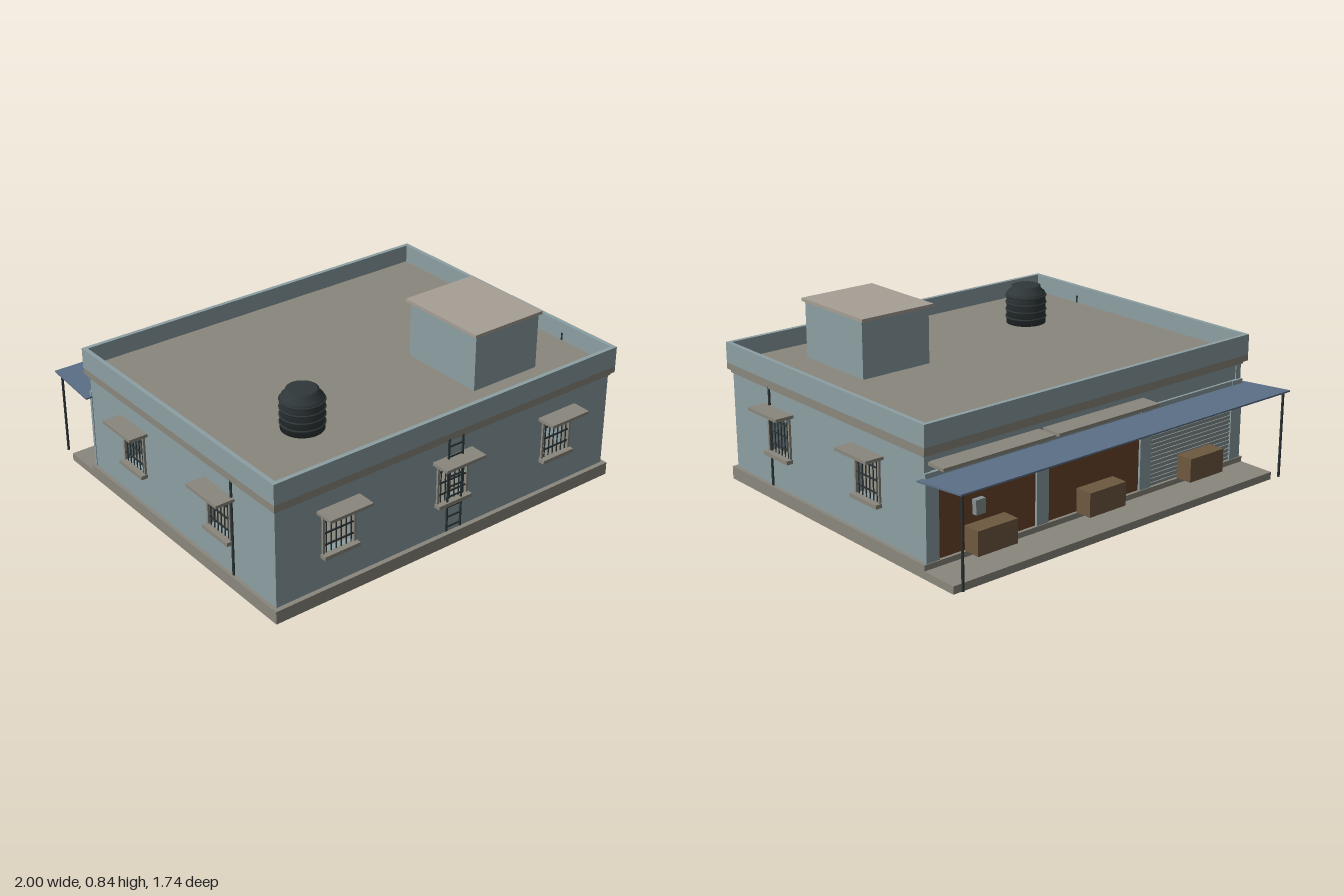
import * as THREE from 'three';

const mat = (color, side = THREE.FrontSide) => new THREE.MeshStandardMaterial({ color, side });
const M = {
  wall: mat(0x8c9fa3), concrete: mat(0x8a877d), cap: mat(0xa69f95), wood: mat(0x6b452c),
  counter: mat(0x6e5940), awning: mat(0x5b6f86, THREE.DoubleSide), metal: mat(0x2b3436),
  tank: mat(0x30383a), shutter: mat(0x858f92),
};

function add(parent, name, geometry, material, x = 0, y = 0, z = 0) {
  const mesh = new THREE.Mesh(geometry, material);
  mesh.name = name;
  mesh.position.set(x, y, z);
  parent.add(mesh);
  return mesh;
}

// Box given by its limits on each axis
function box(parent, name, material, [x0, x1], [y0, y1], [z0, z1]) {
  return add(parent, name, new THREE.BoxGeometry(x1 - x0, y1 - y0, z1 - z0), material,
    (x0 + x1) / 2, (y0 + y1) / 2, (z0 + z1) / 2);
}

// Upright round bar
function rod(parent, name, material, r, x, z, y0, y1) {
  return add(parent, name, new THREE.CylinderGeometry(r, r, y1 - y0, 8), material, x, (y0 + y1) / 2, z);
}

const WIN = { w: 0.075, y0: 0.225, y1: 0.41 };

// Barred window with frame, sill and sunshade, facing +z from the wall plane z = 0
function windowUnit(u) {
  const g = new THREE.Group();
  g.name = 'window';
  g.position.x = u;
  const { w, y0, y1 } = WIN;
  for (const s of [-1, 1]) {
    const e = s * w;
    box(g, 'windowFrameSide', M.concrete, [Math.min(e, e + s * 0.01), Math.max(e, e + s * 0.01)], [y0, y1], [-0.03, 0.01]);
  }
  box(g, 'windowFrameTop', M.concrete, [-w - 0.01, w + 0.01], [y1, y1 + 0.01], [-0.03, 0.01]);
  box(g, 'windowSill', M.concrete, [-0.09, 0.09], [y0 - 0.018, y0], [-0.03, 0.032]);
  box(g, 'windowShade', M.concrete, [-0.108, 0.108], [0.42, 0.434], [-0.01, 0.09]);
  for (let i = 0; i < 6; i++) rod(g, 'windowBar', M.metal, 0.003, -0.0625 + i * 0.025, 0.003, y0, y1);
  for (const t of [0.2, 0.5, 0.8]) {
    const y = y0 + t * (y1 - y0);
    box(g, 'windowCrossBar', M.metal, [-w, w], [y - 0.003, y + 0.003], [0, 0.006]);
  }
  return g;
}

// Wall with window openings, its outer face on local z = 0
function wall(name, half, centres) {
  const g = new THREE.Group();
  g.name = name;
  const rect = (C, x0, x1, y0, y1) => new C([[x0, y0], [x1, y0], [x1, y1], [x0, y1]].map(p => new THREE.Vector2(...p)));
  const shape = rect(THREE.Shape, -half, half, 0.06, 0.53);
  for (const c of centres) shape.holes.push(rect(THREE.Path, c - WIN.w, c + WIN.w, WIN.y0, WIN.y1));
  add(g, name + 'Panel', new THREE.ExtrudeGeometry(shape, { depth: 0.03, bevelEnabled: false }), M.wall, 0, 0, -0.03);
  for (const c of centres) g.add(windowUnit(c));
  return g;
}

export function createModel() {
  const model = new THREE.Group();
  model.name = 'building';

  // Base and porch
  box(model, 'plinth', M.concrete, [-0.927, 0.927], [0, 0.06], [-0.62, 0.797]);
  box(model, 'porchFloor', M.concrete, [-0.927, 0.927], [0, 0.035], [-0.8, -0.59]);

  // Walls
  const front = wall('frontWall', 0.91, [-0.6, 0, 0.6]);
  front.position.z = 0.775;
  const right = wall('rightSideWall', 0.69, [-0.325, 0.32]);
  right.position.set(0.91, 0, 0.085);
  right.rotation.y = Math.PI / 2;
  const left = wall('leftSideWall', 0.69, [-0.335, 0.31]);
  left.position.set(-0.91, 0, 0.085);
  left.rotation.y = -Math.PI / 2;
  model.add(front, right, left);
  box(model, 'backWall', M.wall, [-0.91, 0.91], [0.06, 0.53], [-0.6, -0.57]);

  // Roof slab, moulding and parapet
  box(model, 'cornice', M.concrete, [-0.917, 0.917], [0.51, 0.526], [-0.612, 0.783]);
  box(model, 'roofSlab', M.concrete, [-0.927, 0.927], [0.526, 0.555], [-0.63, 0.797]);
  box(model, 'roofFloor', M.concrete, [-0.907, 0.907], [0.55, 0.565], [-0.61, 0.777]);
  for (const [z0, z1] of [[-0.63, -0.61], [0.777, 0.797]])
    box(model, 'parapetLong', M.wall, [-0.927, 0.927], [0.555, 0.65], [z0, z1]);
  for (const [x0, x1] of [[-0.927, -0.907], [0.907, 0.927]])
    box(model, 'parapetShort', M.wall, [x0, x1], [0.555, 0.65], [-0.61, 0.777]);

  // Stair room
  box(model, 'stairRoom', M.wall, [0.27, 0.63], [0.56, 0.825], [0.175, 0.6]);
  box(model, 'stairRoomCap', M.cap, [0.255, 0.64], [0.825, 0.84], [0.157, 0.613]);

  // Water tank
  const profile = [[0, 0], [0.094, 0], [0.094, 0.135], [0.09, 0.15], [0.07, 0.168], [0.07, 0.18], [0.06, 0.184], [0, 0.184]];
  add(model, 'waterTank', new THREE.LatheGeometry(profile.map(p => new THREE.Vector2(...p)), 32), M.tank, -0.49, 0.565, 0.395);
  for (const y of [0.595, 0.63, 0.665, 0.7]) {
    const ring = add(model, 'tankRing', new THREE.TorusGeometry(0.094, 0.005, 6, 32), M.tank, -0.49, y, 0.395);
    ring.rotation.x = Math.PI / 2;
  }

  // Ladder on the front
  for (const x of [-0.038, 0.038]) rod(model, 'ladderRail', M.metal, 0.005, x, 0.795, 0.08, 0.53);
  for (let i = 0; i < 9; i++) {
    const y = 0.1 + i * 0.049;
    box(model, 'ladderRung', M.metal, [-0.038, 0.038], [y - 0.003, y + 0.003], [0.792, 0.798]);
  }

  // Drain pipes
  for (const x of [-0.911, 0.911]) rod(model, 'drainPipe', M.metal, 0.007, x, 0.483, 0.06, 0.6);

  // Shop bays: pilasters, two timber fronts and a slatted shutter
  for (const x of [-0.88, -0.3, 0.3, 0.88])
    box(model, 'pilaster', M.wall, [x - 0.033, x + 0.033], [0.06, 0.44], [-0.616, -0.6]);
  box(model, 'bayLintel', M.wall, [-0.91, 0.91], [0.4, 0.44], [-0.612, -0.6]);
  for (const x of [0, 0.59]) box(model, 'timberFront', M.wood, [x - 0.267, x + 0.267], [0.06, 0.4], [-0.605, -0.6]);
  box(model, 'shutter', M.shutter, [-0.85, -0.33], [0.06, 0.4], [-0.604, -0.6]);
  for (let i = 0; i < 17; i++) {
    const y = 0.062 + i * 0.02;
    box(model, 'shutterSlat', M.shutter, [-0.85, -0.33], [y, y + 0.013], [-0.61, -0.603]);
  }
  for (const x of [-0.61, 0, 0.61])
    box(model, 'counter', M.counter, [x - 0.105, x + 0.105], [0.06, 0.17], [-0.695, -0.611]);
  box(model, 'meterBox', M.shutter, [0.62, 0.67], [0.205, 0.27], [-0.63, -0.603]);

  // Concrete shades above two bays
  for (const x of [0, 0.6])
    box(model, 'bayShade', M.concrete, [x - 0.29, x + 0.29], [0.468, 0.482], [-0.7, -0.6]);

  // Sloping awning and its posts
  const awning = add(model, 'awning', new THREE.BoxGeometry(1.885, 0.007, 0.273), M.awning, 0, 0.426, -0.735);
  awning.rotation.x = Math.atan2(0.025, 0.27);
  for (const x of [-0.92, 0.92]) rod(model, 'awningPost', M.metal, 0.006, x, -0.85, 0.03, 0.436);

  return model;
}
